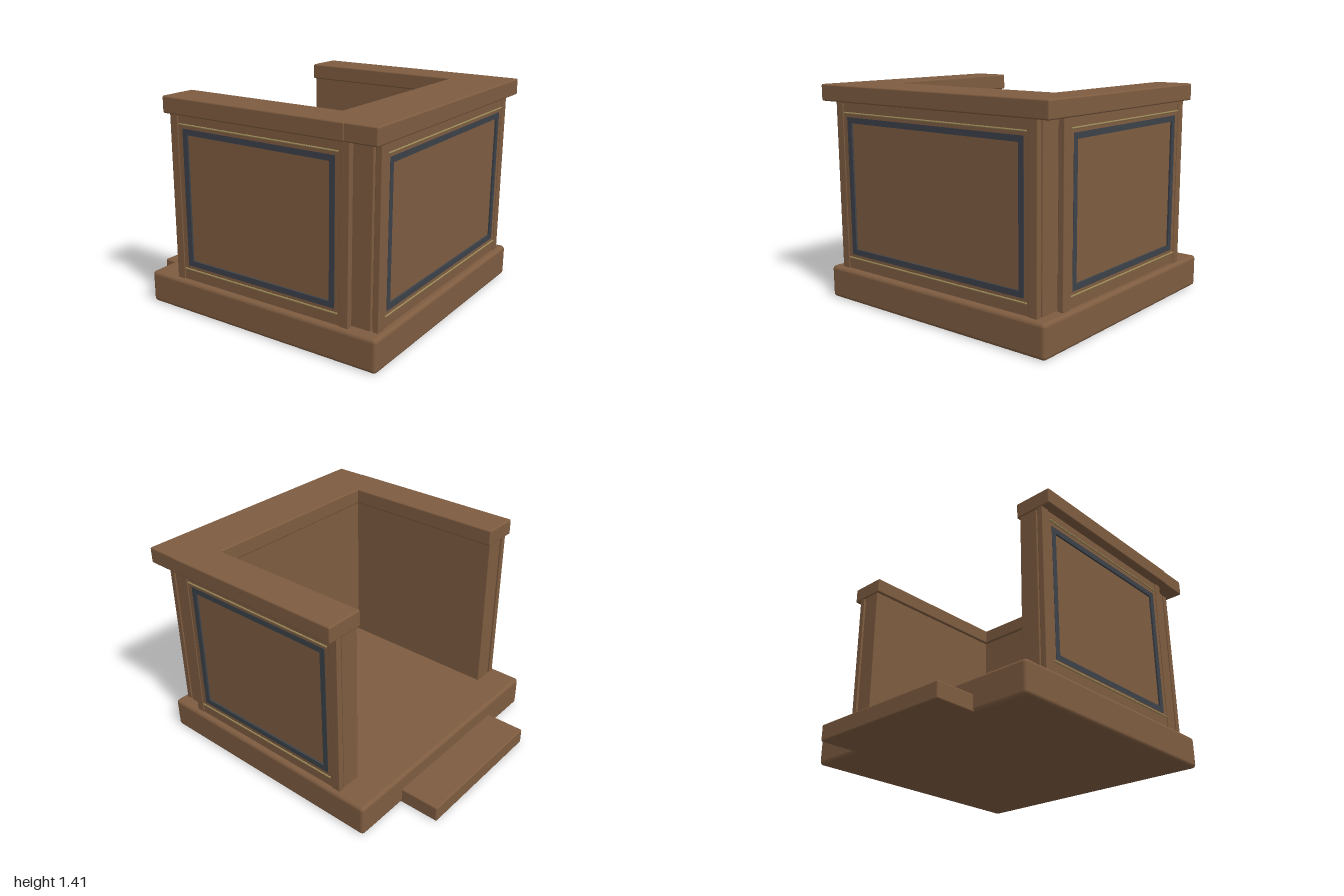
import * as THREE from 'three';
import { RoundedBoxGeometry } from 'three/addons/geometries/RoundedBoxGeometry.js';

const wood = new THREE.MeshStandardMaterial({ color: 0x7e5c40 });
wood.name = 'brown wood';
const slate = new THREE.MeshStandardMaterial({ color: 0x3c424a });
slate.name = 'slate trim';
const brass = new THREE.MeshStandardMaterial({ color: 0x9c8858 });
brass.name = 'pale brass';

const Y0 = 0.215, Y1 = 1.305;   // wall bottom and top
const P0 = 0.312, P1 = 1.208;   // framed panel bottom and top

function add(parent, name, geometry, material) {
  const mesh = new THREE.Mesh(geometry, material);
  mesh.name = name;
  parent.add(mesh);
  return mesh;
}

// Rounded box given by its limits on each axis
function block(parent, name, [x0, x1], [y0, y1], [z0, z1], r = 0.006) {
  const geo = new RoundedBoxGeometry(x1 - x0, y1 - y0, z1 - z0, 3, r);
  geo.translate((x0 + x1) / 2, (y0 + y1) / 2, (z0 + z1) / 2);
  return add(parent, name, geo, wood);
}

// Flat rectangular ring between an outer and an inner rectangle
function ring(halfOut, y0, y1, halfIn, yi0, yi1, depth) {
  const shape = new THREE.Shape();
  shape.moveTo(-halfOut, y0).lineTo(halfOut, y0).lineTo(halfOut, y1).lineTo(-halfOut, y1).closePath();
  const hole = new THREE.Path();
  hole.moveTo(-halfIn, yi0).lineTo(-halfIn, yi1).lineTo(halfIn, yi1).lineTo(halfIn, yi0).closePath();
  shape.holes.push(hole);
  return new THREE.ExtrudeGeometry(shape, { depth, bevelEnabled: false });
}

// Beaded rod lying along x
function beadedRod(length) {
  const beads = Math.round(length / 0.018);
  const profile = [new THREE.Vector2(0, 0)];
  for (let i = 0; i <= beads * 2; i++) {
    profile.push(new THREE.Vector2(i % 2 ? 0.007 : 0.004, (i / (beads * 2)) * length));
  }
  profile.push(new THREE.Vector2(0, length));
  return new THREE.LatheGeometry(profile, 8).translate(0, -length / 2, 0).rotateZ(Math.PI / 2);
}

// Decorated face, facing +z, with its back at z = 0
function facing(name, half) {
  const g = new THREE.Group();
  g.name = name;
  for (const s of [-1, 1]) {
    const xs = s < 0 ? [-half, -half + 0.06] : [half - 0.06, half];
    block(g, 'post', xs, [Y0 - 0.002, Y1], [0, 0.04], 0.004);
  }
  const inner = half - 0.095;
  add(g, 'railFrame', ring(half - 0.06, Y0, Y1, inner, P0, P1, 0.034), wood);
  add(g, 'trimFrame', ring(inner, P0, P1, inner - 0.037, P0 + 0.037, P1 - 0.037, 0.036), slate);
  block(g, 'panel', [-inner, inner], [P0, P1], [-0.02, 0.024], 0.002);
  for (const y of [0.29, 1.235]) {
    add(g, 'beadedRod', beadedRod(2 * (half - 0.07)), brass).position.set(0, y, 0.041);
  }
  return g;
}

export function createModel() {
  const model = new THREE.Group();
  model.name = 'pulpit';

  // Platform and rear step
  block(model, 'platform', [-0.89, 0.89], [0, 0.213], [-0.73, 0.995], 0.025);
  block(model, 'step', [-0.505, 0.505], [0, 0.108], [-1, -0.69], 0.01);

  // Walls
  block(model, 'frontWall', [-0.81, 0.81], [0.205, 1.31], [0.63, 0.91]);
  for (const s of [-1, 1]) {
    const span = (a, b) => (s > 0 ? [a, b] : [-b, -a]);
    block(model, 'sideWall', span(0.68, 0.81), [0.205, 1.31], [-0.515, 0.79]);
    block(model, 'sideCap', span(0.66, 0.916), [1.303, 1.41], [-0.523, 0.79], 0.01);
  }
  block(model, 'frontCap', [-0.912, 0.912], [1.303, 1.41], [0.612, 0.995], 0.01);

  // Decorated outer faces
  const front = facing('frontFacing', 0.81);
  front.position.z = 0.92;
  model.add(front);
  for (const s of [-1, 1]) {
    const side = facing(s > 0 ? 'leftFacing' : 'rightFacing', 0.655);
    side.rotation.y = s * Math.PI / 2;
    side.position.set(s * 0.82, 0, 0.135);
    model.add(side);
  }
  return model;
}
